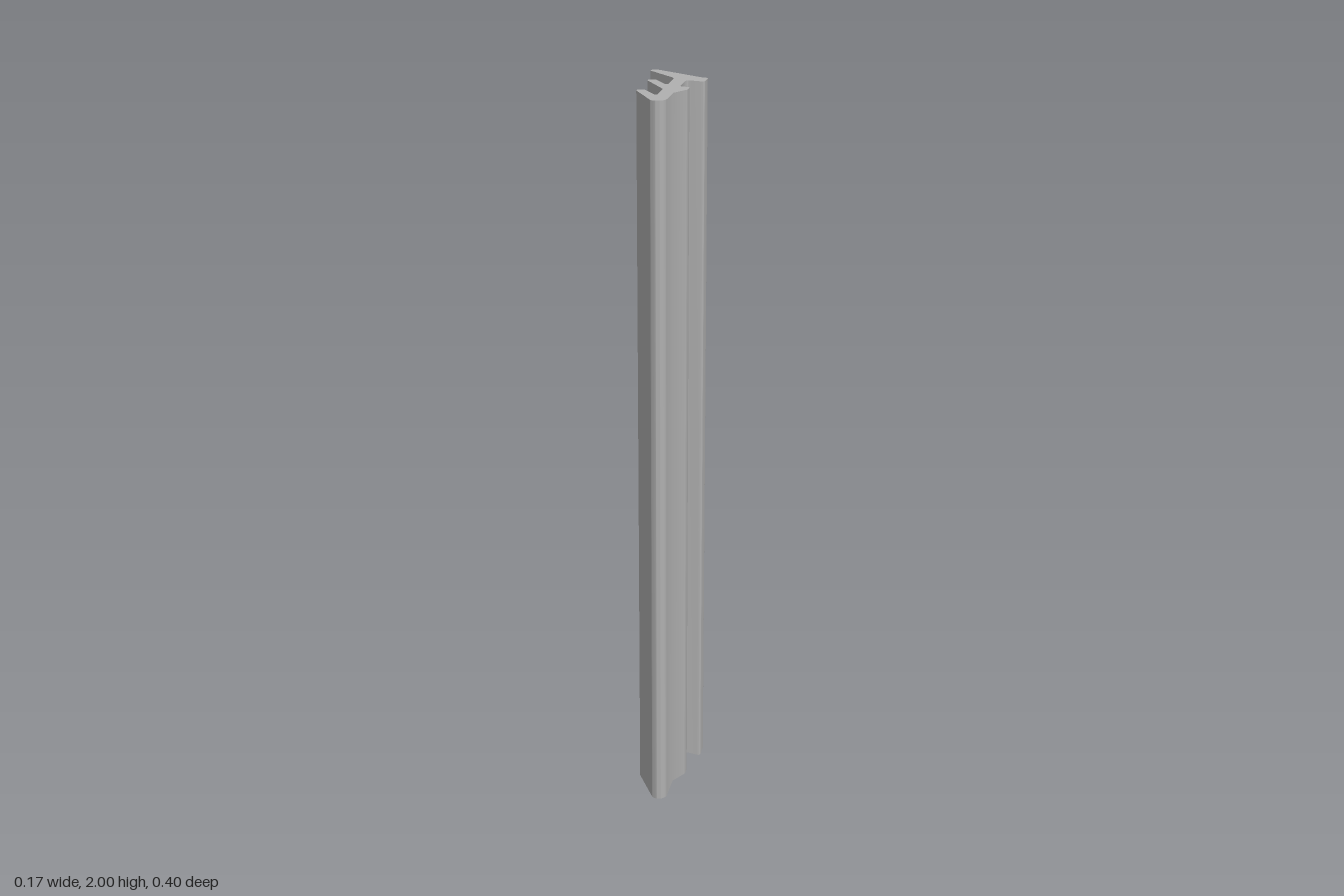
import * as THREE from 'three';
import { toCreasedNormals } from 'three/addons/utils/BufferGeometryUtils.js';

// Closed outline through [x, z, radius] corners, each rounded by a tangent arc
function roundedOutline(corners) {
  const shape = new THREE.Shape();
  const pts = corners.map(([x, z]) => new THREE.Vector2(x, -z));
  const n = pts.length;
  for (let i = 0; i < n; i++) {
    const p = pts[i], r = corners[i][2];
    const a = pts[(i + n - 1) % n].clone().sub(p).normalize();
    const b = pts[(i + 1) % n].clone().sub(p).normalize();
    const half = Math.acos(THREE.MathUtils.clamp(a.dot(b), -1, 1)) / 2;
    const trim = r / Math.tan(half);
    const c = a.clone().add(b).normalize().multiplyScalar(r / Math.sin(half)).add(p);
    const start = a.multiplyScalar(trim).add(p).sub(c).angle();
    const end = b.clone().multiplyScalar(trim).add(p).sub(c).angle();
    const clockwise = p.clone().sub(pts[(i + n - 1) % n]).cross(b) < 0;
    shape.absarc(c.x, c.y, r, start, end, clockwise);
  }
  shape.closePath();
  return shape;
}

export function createModel() {
  const group = new THREE.Group();
  group.name = 'sealStrip';
  const rubber = new THREE.MeshStandardMaterial({ color: 0xb0b0b0 });
  rubber.name = 'grey rubber';

  const outline = roundedOutline([
    // slanted lip and its shoulder
    [-0.0895, -0.187, 0.012], [-0.076, -0.2047, 0.012],
    [0.068, -0.118, 0.01], [0.084, -0.116, 0.008],
    [0.084, -0.0625, 0.007], [0.034, -0.0747, 0.009],
    // wedge on the stem
    [0.034, 0.01, 0.008], [0.061, 0.0135, 0.01],
    [0.061, 0.047, 0.01], [0.034, 0.094, 0.01],
    // rounded foot
    [0.034, 0.1985, 0.0238], [-0.0015, 0.1985, 0.0195],
    // lower fin
    [-0.069, 0.075, 0.0115], [-0.0494, 0.0627, 0.0115],
    [-0.0085, 0.124, 0.005], [-0.002, 0.124, 0.002],
    // upper fin
    [-0.002, 0.0515, 0.02], [-0.0693, -0.0583, 0.0115],
    [-0.0494, -0.0713, 0.0115], [-0.0085, -0.0105, 0.005],
    [-0.002, -0.0105, 0.002],
    // underside of the lip
    [-0.002, -0.0955, 0.03],
  ]);

  // Run the profile up the full height
  const extruded = new THREE.ExtrudeGeometry(outline, { depth: 2, bevelEnabled: false, curveSegments: 8 });
  extruded.rotateX(-Math.PI / 2);
  const strip = new THREE.Mesh(toCreasedNormals(extruded, 0.6), rubber);
  strip.name = 'strip';
  group.add(strip);
  return group;
}
